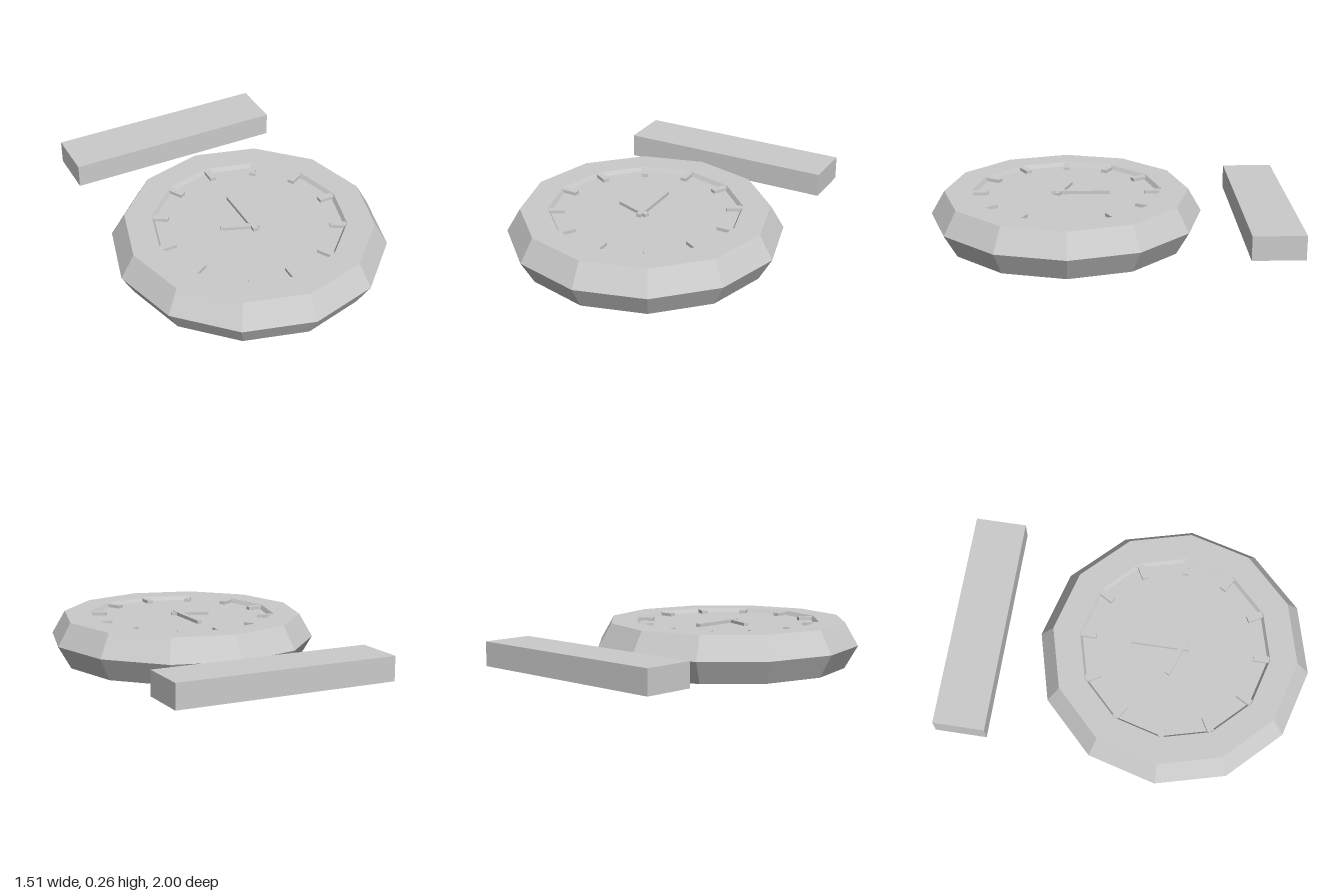
import * as THREE from 'three';

const material = new THREE.MeshStandardMaterial({ color: 0xcccccc, flatShading: true });

function add(parent, name, geometry, x = 0, y = 0, z = 0) {
  const mesh = new THREE.Mesh(geometry, material);
  mesh.name = name;
  mesh.position.set(x, y, z);
  parent.add(mesh);
  return mesh;
}

export function createModel() {
  const model = new THREE.Group();
  model.name = 'clockAndBlock';

  const clock = new THREE.Group();
  clock.name = 'clock';
  clock.position.z = 0.243;
  model.add(clock);

  // Twelve-sided rim with a hexagonal section
  const rim = new THREE.TorusGeometry(0.605, 0.15, 6, 12).rotateX(Math.PI / 2);
  add(clock, 'rim', rim, 0, 0.13, 0);

  // Dial, recessed at the front and back of the rim
  const faceTop = 0.237;
  const faceBottom = 0.03;
  add(clock, 'face', new THREE.CylinderGeometry(0.56, 0.56, faceTop - faceBottom, 12),
    0, (faceTop + faceBottom) / 2, 0);

  // Hour markers
  const marker = new THREE.BoxGeometry(0.09, 0.04, 0.036);
  for (let i = 0; i < 12; i++) {
    const a = (i * Math.PI) / 6;
    const mesh = add(clock, 'hourMarker', marker, Math.cos(a) * 0.482, 0.235, -Math.sin(a) * 0.482);
    mesh.rotation.y = a;
  }

  // Hands, crossing just below the middle of the dial
  add(clock, 'minuteHand', new THREE.BoxGeometry(0.028, 0.04, 0.325), 0, 0.236, -0.08);
  const hourHand = add(clock, 'hourHand', new THREE.BoxGeometry(0.215, 0.04, 0.03), -0.063, 0.234, 0.017);
  hourHand.rotation.y = -0.35;

  // Separate block behind the clock
  add(model, 'block', new THREE.BoxGeometry(1.245, 0.135, 0.287), 0, 0.132, -0.8565);

  return model;
}
